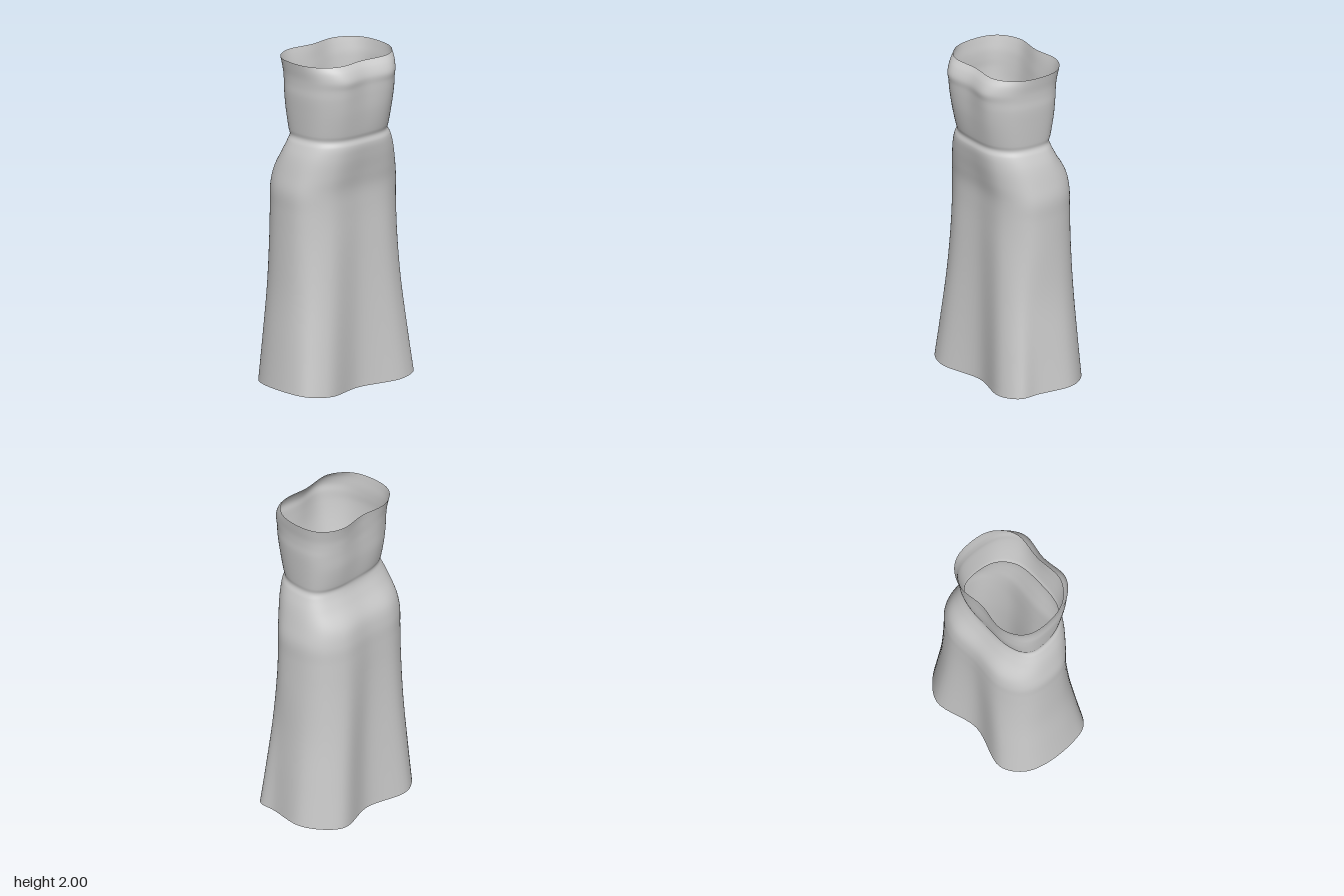
import * as THREE from 'three';

// Sections from hem to top edge:
// [y, half width, front centre z, front fold z, back centre z, back fold z]
const SECTIONS = [
  [0.03, 0.46, 0.215, 0.283, -0.240, -0.305],
  [0.30, 0.433, 0.215, 0.262, -0.238, -0.290],
  [0.60, 0.405, 0.215, 0.243, -0.240, -0.277],
  [0.90, 0.393, 0.216, 0.230, -0.248, -0.267],
  [1.10, 0.390, 0.217, 0.222, -0.255, -0.263],
  [1.22, 0.389, 0.222, 0.224, -0.255, -0.260],
  [1.32, 0.370, 0.240, 0.238, -0.238, -0.242],
  [1.43, 0.342, 0.262, 0.252, -0.184, -0.180],
  [1.50, 0.314, 0.270, 0.255, -0.155, -0.148],
  [1.535, 0.297, 0.262, 0.245, -0.150, -0.141],
  [1.57, 0.301, 0.271, 0.254, -0.158, -0.152],
  [1.70, 0.313, 0.288, 0.280, -0.175, -0.176],
  [1.80, 0.320, 0.292, 0.294, -0.180, -0.183],
  [1.86, 0.319, 0.292, 0.300, -0.182, -0.188],
  [1.91, 0.321, 0.292, 0.306, -0.186, -0.193],
  [1.96, 0.328, 0.272, 0.286, -0.190, -0.202],
  [2.00, 0.334, 0.242, 0.252, -0.195, -0.211],
];
const AROUND = 96;
const STEPS = 6; // rows between two sections

// Control points of one section, running front -> left -> back -> right
function sectionPoints([y, w, fc, fl, bc, bl]) {
  const s = Math.max(0, 1 - y / 0.9); // flare of the skirt
  const side = (m) => {
    const front = m > 0 ? -0.025 : 0.003;
    const back = m > 0 ? 0.005 : -0.008;
    return [
      [m * (0.55 + 0.08 * s) * w, fl],
      [m * (0.85 + 0.06 * s) * w, (0.74 + 0.06 * s) * fl],
      [m * (0.982 * w + front * s), 0.38 * fl],
      [m * (0.982 * w + back * s), 0.36 * bl],
      [m * (0.84 + 0.01 * s) * w, 0.75 * bl],
      [m * (0.52 + 0.07 * s) * w, bl],
    ];
  };
  return [[0, fc], ...side(1), [0, bc], ...side(-1).reverse()]
    .map(([x, z]) => new THREE.Vector3(x + 0.003, y, z));
}

function dressGeometry() {
  const rings = SECTIONS.map(sectionPoints);
  const columns = rings[0].map((_, i) => new THREE.CatmullRomCurve3(rings.map((r) => r[i])));
  const rows = (SECTIONS.length - 1) * STEPS;
  const positions = [];
  const indices = [];
  for (let r = 0; r <= rows; r++) {
    const ring = new THREE.CatmullRomCurve3(columns.map((c) => c.getPoint(r / rows)), true);
    for (let a = 0; a < AROUND; a++) {
      const p = ring.getPoint(a / AROUND);
      // the hem dips in the middle of front and back
      const dip = 0.03 * Math.max(0, 1 - (p.x / 0.46) ** 2) * Math.max(0, 1 - p.y / 0.3);
      positions.push(p.x, r === 0 ? 0.03 - 0.03 * Math.max(0, 1 - (p.x / 0.46) ** 2) : p.y - dip, p.z);
      if (r < rows) {
        const b = (a + 1) % AROUND;
        const i = r * AROUND + a, j = r * AROUND + b;
        indices.push(i, j, j + AROUND, i, j + AROUND, i + AROUND);
      }
    }
  }
  const geometry = new THREE.BufferGeometry();
  geometry.setAttribute('position', new THREE.Float32BufferAttribute(positions, 3));
  geometry.setIndex(indices);
  geometry.computeVertexNormals();
  return geometry;
}

export function createModel() {
  const group = new THREE.Group();
  group.name = 'straplessDress';
  // One open sheet of cloth: bodice, waist and skirt
  const cloth = new THREE.MeshStandardMaterial({ color: 0xcccccc, side: THREE.DoubleSide });
  const dress = new THREE.Mesh(dressGeometry(), cloth);
  dress.name = 'dress';
  group.add(dress);
  return group;
}
